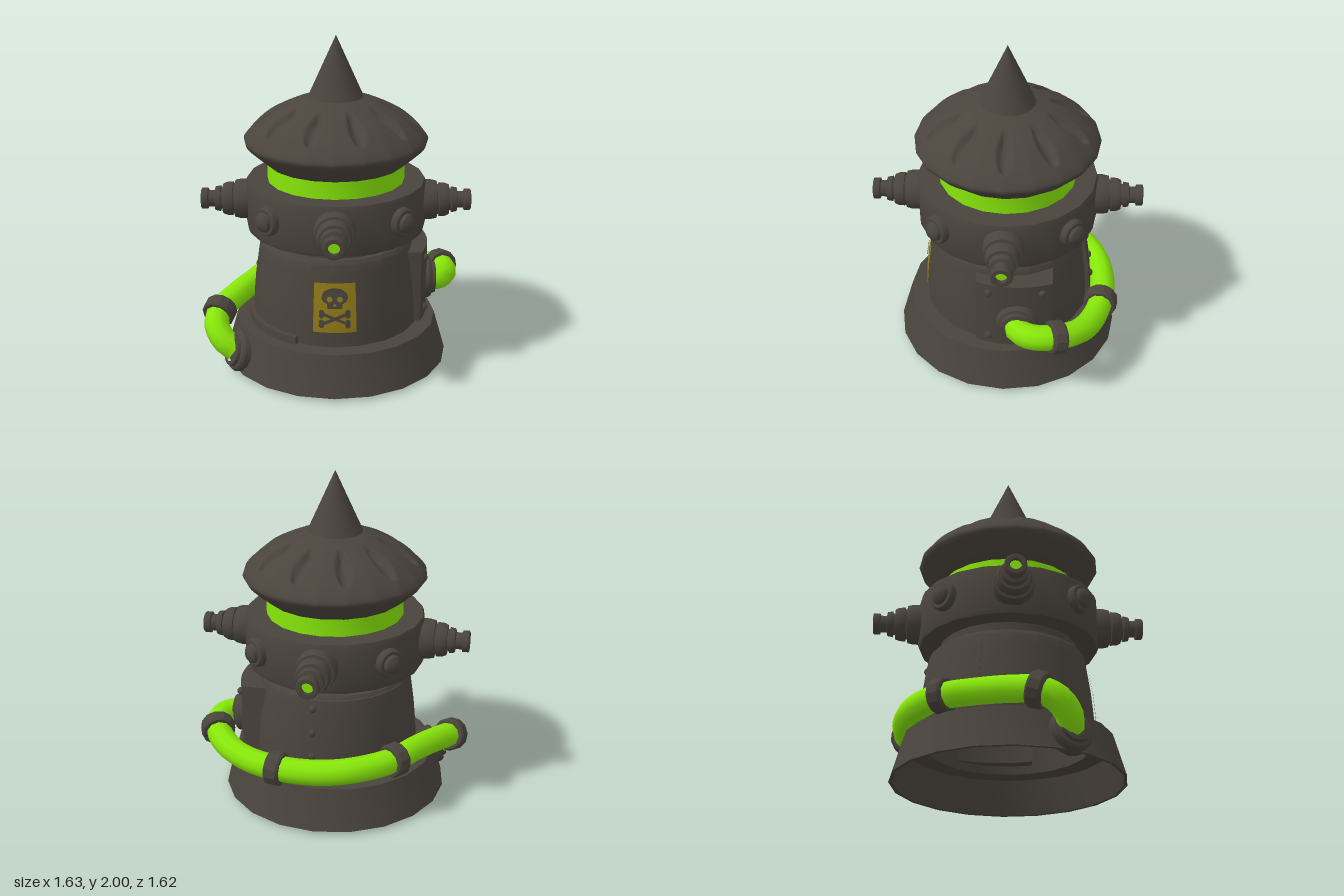
import * as THREE from 'three';
import { toCreasedNormals } from 'three/addons/utils/BufferGeometryUtils.js';

const mat = (name, color) => {
  const m = new THREE.MeshStandardMaterial({ color });
  m.name = name;
  return m;
};
const iron = mat('dark iron', 0x4a443d);
const green = mat('toxic green', 0x88e80a);
const yellow = mat('sign yellow', 0x927b18);

const SIDES = 20;
const wall = [[0.507, 0.26], [0.503, 0.4], [0.492, 0.52], [0.468, 0.69], [0.457, 0.755], [0.44, 0.78]];

// Radius of the curved body wall at a height
function wallRadius(y) {
  for (let i = 1; i < wall.length; i++) {
    const [r0, y0] = wall[i - 1], [r1, y1] = wall[i];
    if (y <= y1) return r0 + (r1 - r0) * Math.max(0, (y - y0) / (y1 - y0));
  }
  return wall[wall.length - 1][0];
}

// Move every vertex of a geometry by a rule
function reshape(geo, rule) {
  const p = geo.attributes.position;
  for (let i = 0; i < p.count; i++) p.setXYZ(i, ...rule(p.getX(i), p.getY(i), p.getZ(i)));
  geo.computeVertexNormals();
  return geo;
}

// Wrap flat geometry round the body: x becomes arc length, z the offset from the wall
const wrap = geo => reshape(geo, (x, y, z) => {
  const a = x / 0.5, r = wallRadius(y) + z;
  return [r * Math.sin(a), y, r * Math.cos(a)];
});

const lathe = (pts, sides = SIDES) => toCreasedNormals(
  new THREE.LatheGeometry(pts.map(([x, y]) => new THREE.Vector2(x, y)), sides), 0.5);

function add(parent, name, geo, material, pos = [0, 0, 0]) {
  const mesh = new THREE.Mesh(geo, material);
  mesh.name = name;
  mesh.position.set(...pos);
  parent.add(mesh);
  return mesh;
}

// Turn a part built along +y so that it points along a direction
const aim = (obj, dir) => obj.quaternion.setFromUnitVectors(new THREE.Vector3(0, 1, 0), dir.clone().normalize());

// Roof cap with ten smooth teardrop dents
function roofGeometry() {
  const outline = new THREE.CatmullRomCurve3([[0.41, 1.245], [0.48, 1.305], [0.535, 1.36], [0.546, 1.385], [0.535, 1.41],
    [0.48, 1.47], [0.4, 1.535], [0.29, 1.592], [0.15, 1.645]].map(([x, y]) => new THREE.Vector3(x, y, 0)));
  const pts = [[0, 1.245], [0.4, 1.245]].concat(outline.getPoints(56).map(v => [v.x, v.y]));
  const geo = new THREE.LatheGeometry(pts.map(([x, y]) => new THREE.Vector2(x, y)), 240);
  const dentStep = Math.PI / 5, sideStep = 2 * Math.PI / SIDES;
  reshape(geo, (x, y, z) => {
    const r = Math.hypot(x, z), a = Math.atan2(z, x), t = (r - 0.255) / 0.235;
    let depth = 0;
    if (t > 0 && t < 1 && y > 1.4) {
      const half = 0.02 + 0.034 * Math.sin(Math.PI * Math.pow(t, 1.4));
      const u = r * Math.sin(a - Math.round(a / dentStep) * dentStep) / half;
      depth = 0.042 * Math.min(1, 2 * Math.sin(Math.PI * t)) * Math.pow(Math.max(0, 1 - u * u), 1.5);
    }
    // Flatten the round outline to straight sides
    const local = a - (Math.floor(a / sideStep) + 0.5) * sideStep;
    const k = Math.cos(sideStep / 2) / Math.cos(local);
    return [x * k, y - depth, z * k];
  });
  return toCreasedNormals(geo, 1.1);
}

// Skull and crossed bones for the warning sign
function skullShapes() {
  const skull = new THREE.Shape();
  skull.moveTo(-0.042, 0.505);
  skull.lineTo(0.042, 0.505);
  skull.lineTo(0.045, 0.535);
  skull.bezierCurveTo(0.1, 0.55, 0.085, 0.63, 0, 0.63);
  skull.bezierCurveTo(-0.085, 0.63, -0.1, 0.55, -0.045, 0.535);
  for (const s of [-1, 1]) skull.holes.push(new THREE.Path().absarc(s * 0.03, 0.562, 0.017, 0, 7, true));
  const nose = new THREE.Path();
  nose.moveTo(-0.01, 0.522);
  nose.lineTo(0, 0.542);
  nose.lineTo(0.01, 0.522);
  skull.holes.push(nose);
  const shapes = [skull];
  for (const s of [-1, 1]) {
    const bone = new THREE.Shape();
    bone.moveTo(-0.07, 0.452 - s * 0.03);
    bone.lineTo(-0.066, 0.432 - s * 0.03);
    bone.lineTo(0.074, 0.432 + s * 0.03);
    bone.lineTo(0.07, 0.452 + s * 0.03);
    shapes.push(bone);
    for (const e of [-1, 1]) for (const d of [-0.011, 0.011])
      shapes.push(new THREE.Shape().absarc(e * 0.075, 0.442 + s * e * 0.03 + d, 0.016, 0, 2 * Math.PI));
  }
  return shapes;
}

export function createModel() {
  const model = new THREE.Group();
  model.name = 'toxicTower';

  // Hollow base and body in one shell
  add(model, 'body', lathe([[0, 0.74], [0.42, 0.74], [0.47, 0.22], [0.595, 0.22], [0.66, 0.015], [0.68, 0.015],
    [0.61, 0.26], ...wall, [0.41, 0.78], [0.41, 0.85]]), iron);
  add(model, 'ring', lathe([[0.4, 0.84], [0.53, 0.84], [0.54, 0.865], [0.54, 1.115], [0.53, 1.14], [0.4, 1.14]]), iron);
  add(model, 'glowBand', lathe([[0.41, 1.13], [0.41, 1.25], [0.3, 1.25]]), green);
  add(model, 'roof', roofGeometry(), iron);
  add(model, 'spike', new THREE.ConeGeometry(0.163, 0.36, 24), iron, [0, 1.82, 0]);

  // Stepped nozzles on the axes, domed bolts on the diagonals
  const nozzle = lathe([[0.12, 0.48], [0.12, 0.57], [0.112, 0.605], [0.09, 0.608], [0.09, 0.615], [0.102, 0.618],
    [0.1, 0.655], [0.09, 0.678], [0.064, 0.68], [0.064, 0.69], [0.078, 0.693], [0.072, 0.725], [0.05, 0.73],
    [0.05, 0.765], [0.064, 0.77], [0.064, 0.805], [0.058, 0.81], [0.034, 0.81], [0.034, 0.775]], 16);
  const bolt = lathe([[0.088, 0.48], [0.085, 0.565], [0.077, 0.575], [0.058, 0.575], [0.053, 0.595], [0.032, 0.61], [0, 0.615]], 16);
  for (let i = 0; i < 8; i++) {
    const a = i * Math.PI / 4, dir = new THREE.Vector3(Math.sin(a), 0, Math.cos(a));
    const arm = new THREE.Group();
    arm.name = i % 2 ? 'bolt' : 'nozzle';
    arm.position.y = 1;
    aim(arm, dir);
    add(arm, arm.name + 'Body', i % 2 ? bolt : nozzle, iron);
    if (i % 2 === 0) add(arm, 'nozzleCore', new THREE.CylinderGeometry(0.036, 0.036, 0.02, 14), green, [0, 0.775, 0]);
    model.add(arm);
  }

  // Warning sign wrapped on the front
  const sign = new THREE.PlaneGeometry(0.25, 0.3, 10, 8).translate(0, 0.505, 0.006);
  add(model, 'warningSign', wrap(sign), yellow);
  add(model, 'signSkull', wrap(new THREE.ShapeGeometry(skullShapes(), 6).translate(0, 0, 0.0135)), iron);

  // Overlapping back sheet, thick at its riveted seam and thinning to nothing
  const sheet = new THREE.BoxGeometry(0.7, 0.5, 0.04, 16, 10, 1);
  reshape(sheet, (x, y, z) => [x + 1.82, y + 0.51, z * (z > 0 ? 0.5 - x / 0.7 * 1.0 : 1)]);
  add(model, 'backSheet', toCreasedNormals(wrap(sheet), 0.6), iron);
  const rivet = new THREE.SphereGeometry(0.024, 12, 8);
  for (const y of [0.42, 0.565, 0.71]) {
    const r = wallRadius(y) + 0.01;
    add(model, 'backRivet', rivet, iron, [0.04, y, -r]);
  }

  // Low foot strip along the right-hand wall
  const strip = new THREE.BoxGeometry(0.65, 0.08, 0.06, 14, 1, 1).translate(-0.55, 0.27, -0.005);
  add(model, 'footStrip', toCreasedNormals(wrap(strip), 0.6), iron);

  // Bowed side panel with corner rivets
  const panelFace = z => 0.56 - 0.9 * (z + 0.06) ** 2;
  const panel = reshape(new THREE.BoxGeometry(0.16, 0.45, 0.45, 1, 1, 10), (x, y, z) =>
    [x - 0.08 + panelFace(z - 0.06), y + 0.495, z - 0.06]);
  add(model, 'sidePanel', toCreasedNormals(panel, 0.6), iron);
  for (const y of [0.33, 0.66]) for (const z of [-0.225, 0.09]) add(model, 'panelRivet', rivet, iron, [panelFace(z), y, z]);

  // Hose running from the panel round the back and down into the base
  const path = new THREE.CatmullRomCurve3([
    [0.55, 0.45, -0.08], [0.63, 0.45, -0.09], [0.68, 0.45, -0.17], [0.665, 0.44, -0.31], [0.56, 0.4, -0.45],
    [0.42, 0.37, -0.53], [0.23, 0.36, -0.585], [0, 0.36, -0.595], [-0.2, 0.37, -0.55], [-0.41, 0.375, -0.405],
    [-0.53, 0.365, -0.2], [-0.64, 0.34, -0.01], [-0.71, 0.31, 0.12], [-0.72, 0.26, 0.22], [-0.67, 0.19, 0.285],
    [-0.6, 0.14, 0.3]].map(p => new THREE.Vector3(...p)));
  add(model, 'hose', new THREE.TubeGeometry(path, 64, 0.076, 10, false), green);

  // Clamps set on the hose at the nearest point to each position
  const clamp = lathe([[0.07, -0.045], [0.092, -0.045], [0.102, -0.032], [0.102, 0.032], [0.092, 0.045], [0.07, 0.045]], 12);
  for (const c of [[0.665, 0.44, -0.31], [0.24, 0.36, -0.585], [-0.43, 0.375, -0.38], [-0.71, 0.31, 0.12]]) {
    const target = new THREE.Vector3(...c);
    let best = 0;
    for (let t = 0; t <= 1; t += 0.005)
      if (path.getPointAt(t).distanceTo(target) < path.getPointAt(best).distanceTo(target)) best = t;
    aim(add(model, 'hoseClamp', clamp, iron, path.getPointAt(best).toArray()), path.getTangentAt(best));
  }

  // Flanges where the hose meets the panel and the base
  const flange = lathe([[0.125, -0.05], [0.125, 0.02], [0.115, 0.035], [0.098, 0.04], [0.095, 0.06], [0.07, 0.065]], 16);
  aim(add(model, 'panelFlange', flange, iron, [0.555, 0.455, -0.08]), new THREE.Vector3(1, 0, 0));
  aim(add(model, 'baseFlange', flange, iron, [-0.575, 0.13, 0.3]), new THREE.Vector3(-0.86, 0.3, 0.42));
  return model;
}
